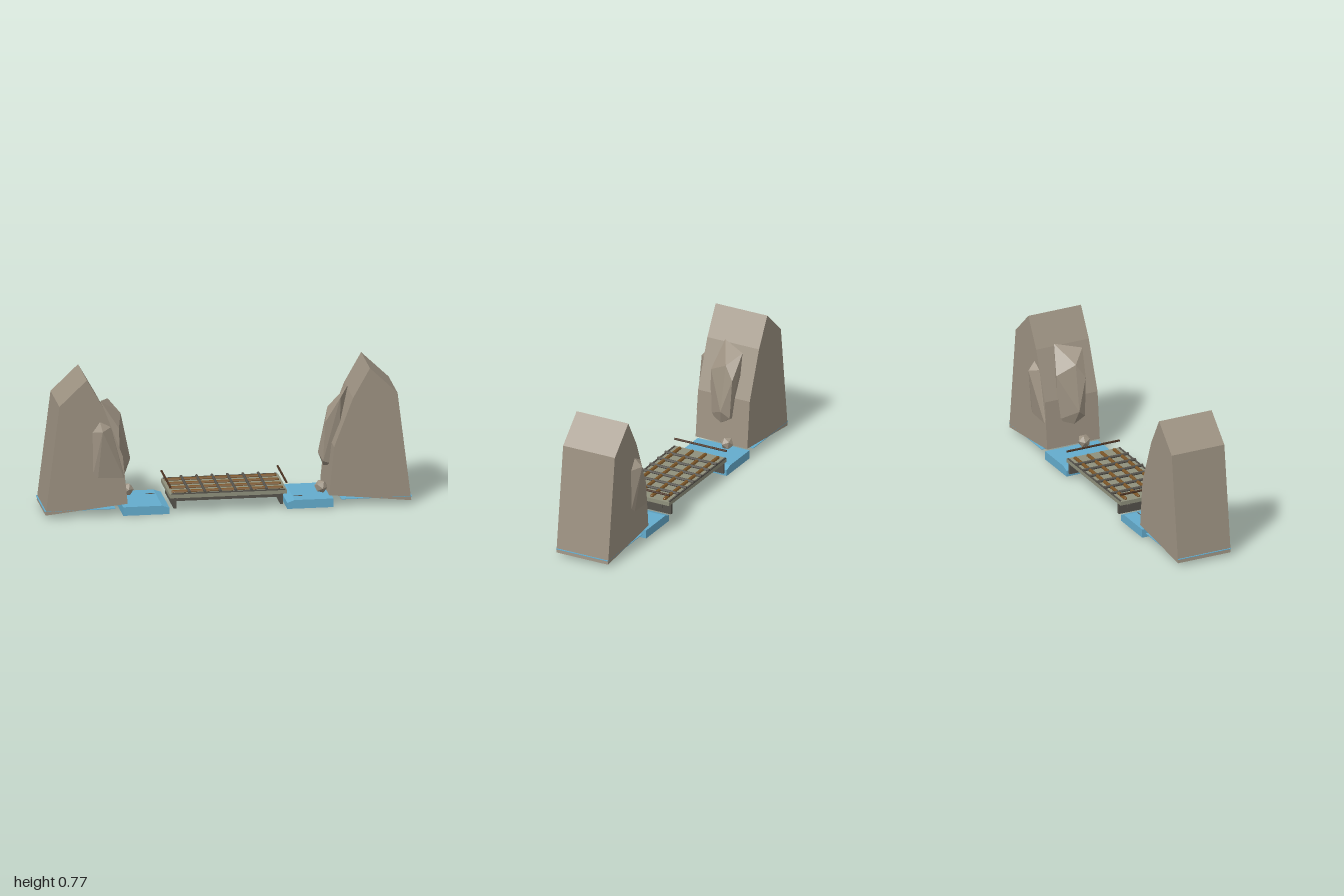
import * as THREE from 'three';
import { ConvexGeometry } from 'three/addons/geometries/ConvexGeometry.js';

const mat = (color) => new THREE.MeshStandardMaterial({ color, flatShading: true });
const STONE = mat(0x9d9282), WATER = mat(0x64accd), DECK = mat(0x8f907c);
const IRON = mat(0x56534c), WOOD = mat(0x7a5426), DARKWOOD = mat(0x4a3222);
const DEPTH = 0.318;

function add(parent, name, geometry, material, x = 0, y = 0, z = 0) {
  const mesh = new THREE.Mesh(geometry, material);
  mesh.name = name;
  mesh.position.set(x, y, z);
  parent.add(mesh);
  return mesh;
}

const box = (parent, name, w, h, d, material, x, y, z) =>
  add(parent, name, new THREE.BoxGeometry(w, h, d), material, x, y, z);

// Extrude an x/y outline across the full depth, centred on z
function slab(parent, name, outline, material) {
  const shape = new THREE.Shape(outline.map(([x, y]) => new THREE.Vector2(x, y)));
  const geometry = new THREE.ExtrudeGeometry(shape, { depth: DEPTH, bevelEnabled: false });
  return add(parent, name, geometry.translate(0, 0, -DEPTH / 2), material);
}

const rock = (parent, name, points) =>
  add(parent, name, new ConvexGeometry(points.map((p) => new THREE.Vector3(...p))), STONE);

// One river bank on the -x side
function createBank() {
  const bank = new THREE.Group();

  slab(bank, 'cliff', [
    [-0.995, 0.02], [-0.548, 0.067], [-0.575, 0.335],
    [-0.678, 0.605], [-0.77, 0.768], [-0.92, 0.625],
  ], STONE);

  rock(bank, 'frontCrag', [
    [-0.70, 0.535, 0.155], [-0.75, 0.47, 0.15], [-0.69, 0.485, 0.2], [-0.64, 0.5, 0.16],
    [-0.735, 0.245, 0.16], [-0.71, 0.22, 0.165], [-0.57, 0.215, 0.165], [-0.57, 0.27, 0.15],
    [-0.66, 0.4, 0.1],
  ]);

  rock(bank, 'innerCrag', [
    [-0.68, 0.617, 0.05], [-0.62, 0.59, -0.09], [-0.56, 0.525, -0.02], [-0.54, 0.45, -0.07],
    [-0.585, 0.47, 0.085], [-0.508, 0.27, -0.015], [-0.53, 0.23, -0.06], [-0.575, 0.215, 0.085],
    [-0.54, 0.19, 0], [-0.62, 0.2, -0.05],
  ]);

  // Small boulder at the foot of the cliff
  const boulder = add(bank, 'boulder', new THREE.IcosahedronGeometry(0.037, 0), STONE, -0.52, 0.088, -0.05);
  boulder.rotation.set(0.4, 0.3, 0.2);

  // Water: a thick block beside the bridge and a thin sheet under the cliff
  slab(bank, 'waterBlock', [
    [-0.572, 0], [-0.32, 0], [-0.32, 0.034], [-0.36, 0.048], [-0.572, 0.048],
  ], WATER);
  box(bank, 'waterSheet', 0.385, 0.003, DEPTH, WATER, -0.807, 0.042, 0);
  box(bank, 'ripple', 0.05, 0.003, 0.004, IRON, -0.39, 0.049, -0.08);
  return bank;
}

function createBridge() {
  const bridge = new THREE.Group();
  bridge.name = 'bridge';
  box(bridge, 'deck', 0.636, 0.022, DEPTH, DECK, 0, 0.097, 0);

  // Lengthwise rods lying on the deck
  for (const z of [-0.119, -0.041, 0.039, 0.117]) {
    const rod = add(bridge, 'longRod', new THREE.CapsuleGeometry(0.01, 0.59, 3, 8), WOOD, 0, 0.111, z);
    rod.rotation.z = Math.PI / 2;
  }

  // Crosswise bars
  for (let i = 0; i < 6; i++) {
    const bar = add(bridge, 'crossBar', new THREE.CylinderGeometry(0.008, 0.008, DEPTH, 8), IRON,
      (i - 2.5) * 0.084, 0.116, 0);
    bar.rotation.x = Math.PI / 2;
  }

  for (const s of [-1, 1]) {
    // Edge strip, girder, end board and floating end rail
    box(bridge, 'edgeStrip', 0.62, 0.006, 0.008, IRON, 0, 0.11, s * 0.155);
    box(bridge, 'girder', 0.61, 0.018, 0.02, IRON, 0, 0.065, s * 0.1);
    box(bridge, 'endBoard', 0.016, 0.058, DEPTH, IRON, s * 0.29, 0.058, 0);
    const rail = add(bridge, 'endRail', new THREE.CylinderGeometry(0.006, 0.006, DEPTH, 8), DARKWOOD,
      s * 0.316, 0.15, 0);
    rail.rotation.x = Math.PI / 2;
  }
  return bridge;
}

export function createModel() {
  const model = new THREE.Group();
  model.name = 'riverBridge';

  // The far bank is the same bank turned half a circle
  const rightBank = createBank();
  rightBank.name = 'rightBank';
  const leftBank = createBank();
  leftBank.name = 'leftBank';
  leftBank.rotation.y = Math.PI;

  const scene = new THREE.Group();
  scene.name = 'crossing';
  scene.position.z = -0.003;
  scene.add(rightBank, leftBank, createBridge());
  model.add(scene);
  return model;
}
